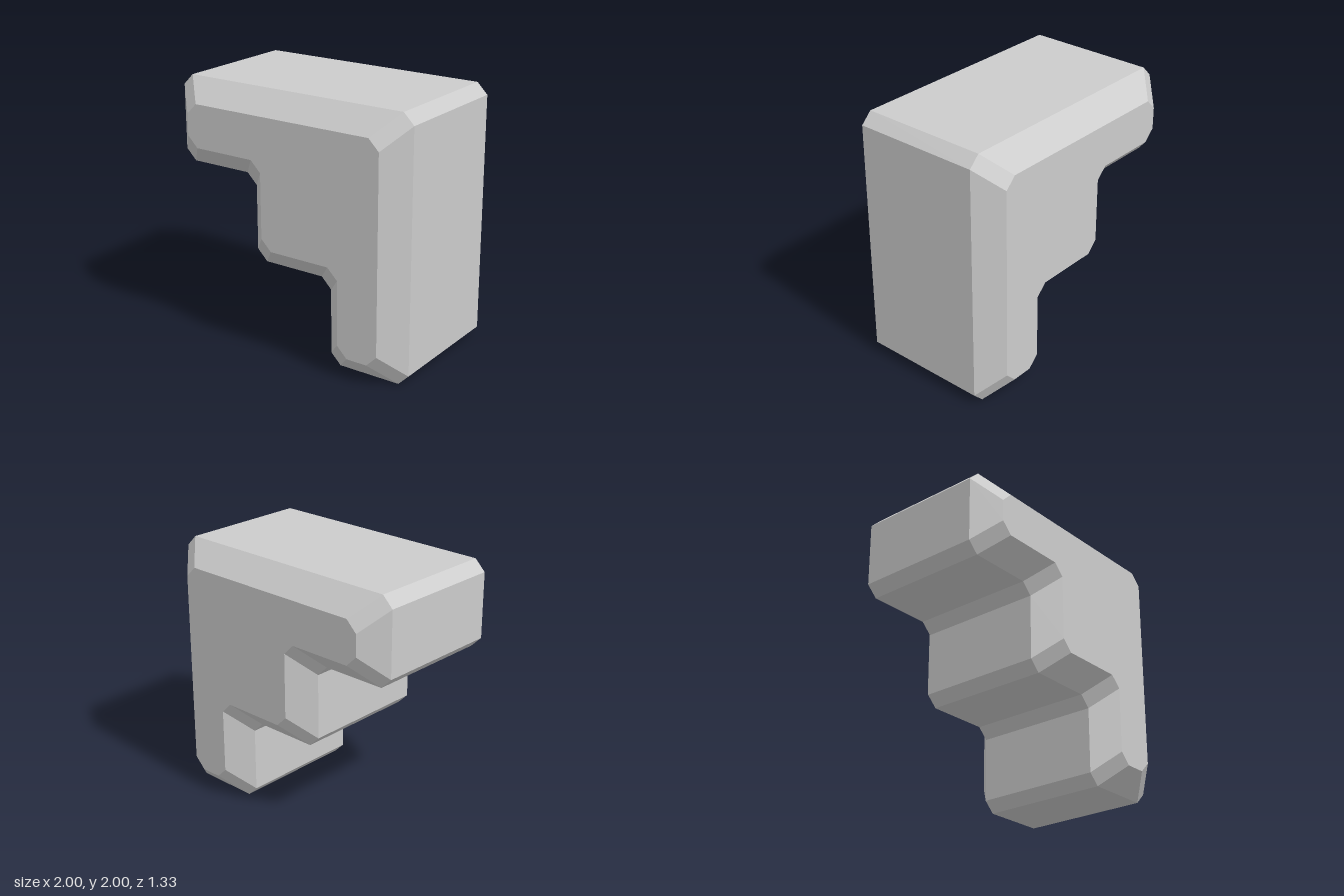
import * as THREE from 'three';

// Stepped outline, counter-clockwise seen from the front
const T = 1 / 3;
const CORNERS = [[-1, 2], [-1, 4 * T], [-T, 4 * T], [-T, 2 * T], [T, 2 * T], [T, 0], [1, 0], [1, 2]]
  .map(([x, y]) => new THREE.Vector2(x, y));
const CUT = 1 / 12;   // chamfer on every outline corner
const BEVEL = 1 / 6;  // chamfer around front and back faces

// Outline moved inwards by inset, with each corner cut off
function outline(inset) {
  const n = CORNERS.length;
  return CORNERS.flatMap((p, i) => {
    const din = p.clone().sub(CORNERS[(i + n - 1) % n]).normalize();
    const dout = CORNERS[(i + 1) % n].clone().sub(p).normalize();
    const q = new THREE.Vector2(p.x - inset * (din.y + dout.y), p.y + inset * (din.x + dout.x));
    return [q.clone().addScaledVector(din, -CUT), q.clone().addScaledVector(dout, CUT)];
  });
}

function bevelledBlock() {
  const inner = outline(BEVEL), outer = outline(0);
  const zFace = 0.5 + BEVEL;
  const rings = [[inner, -zFace], [outer, -0.5], [outer, 0.5], [inner, zFace]];
  const n = inner.length;
  const positions = [], index = [];
  for (const [pts, z] of rings) for (const p of pts) positions.push(p.x, p.y, z);

  // Walls and bevels between neighbouring rings
  for (let r = 0; r < rings.length - 1; r++) {
    for (let j = 0; j < n; j++) {
      const a = r * n + j, b = r * n + (j + 1) % n;
      index.push(a, b, b + n, a, b + n, a + n);
    }
  }
  // Front and back faces
  const front = (rings.length - 1) * n;
  for (const [a, b, c] of THREE.ShapeUtils.triangulateShape(inner, [])) {
    index.push(front + a, front + b, front + c, a, c, b);
  }

  const indexed = new THREE.BufferGeometry();
  indexed.setAttribute('position', new THREE.Float32BufferAttribute(positions, 3));
  indexed.setIndex(index);
  const geometry = indexed.toNonIndexed();
  geometry.computeVertexNormals();
  return geometry;
}

export function createModel() {
  const group = new THREE.Group();
  group.name = 'steppedBracket';
  const material = new THREE.MeshStandardMaterial({ color: 0xcccccc, flatShading: true });
  const block = new THREE.Mesh(bevelledBlock(), material);
  block.name = 'steppedBlock';
  group.add(block);
  return group;
}
